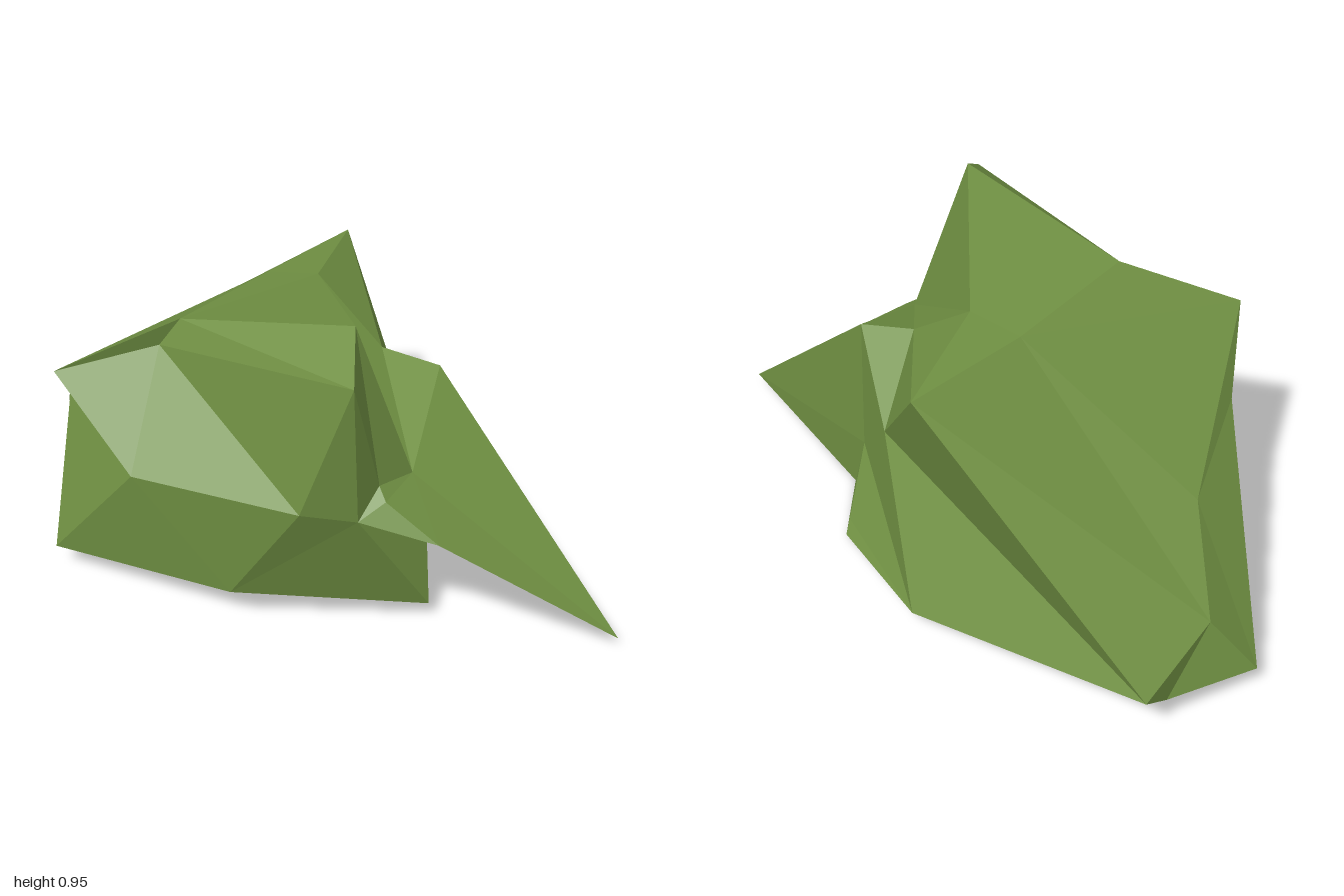
import * as THREE from 'three';

// Corner points of the rock, grouped by region
const P = {
  // crown
  peak: [0.445, 0.952, 0.035], shoulder: [0.573, 0.86, 0.14],
  topFront: [-0.06, 0.82, 0.24], topBack: [-0.06, 0.815, -0.24],
  saddle: [-0.2, 0.788, -0.165], backTip: [-0.3, 0.78, -0.545],
  // front wall
  brow: [-0.23, 0.68, 0.55], notch: [-0.1, 0.735, 0.285],
  belly: [0.03, 0.44, 0.475], cheek: [0.475, 0.46, 0.232],
  hollow: [-0.43, 0.52, 0.385], footFront: [-0.25, 0.083, 0.575],
  footRight: [0.265, 0.112, 0.31], footHollow: [-0.37, 0.11, 0.335],
  // left slope
  ridge: [-0.655, 0.43, 0.115], slopeEnd: [-0.9, 0.245, -0.005],
  tipBack: [-1, 0.175, -0.27], tipMid: [-0.965, 0.11, -0.18], tipFront: [-0.97, 0.075, 0.11],
  // spur on the +x side, with a recess between it and the body
  spurFoot: [0.592, 0.068, -0.145], spurTip: [0.995, 0.04, -0.49], spurRidge: [0.69, 0.357, -0.075],
  recessTop: [0.45, 0.43, -0.23], recessFoot: [0.14, 0.045, -0.35],
  cleft: [0.51, 0.475, -0.13], nickTop: [0.53, 0.495, 0.005],
  nick: [0.565, 0.463, 0.01], nickLow: [0.55, 0.423, 0.092],
  // back wall
  ledge: [0.16, 0.65, -0.305], ledgeEnd: [0.3, 0.62, -0.405], dent: [0.03, 0.437, -0.475],
  crease: [0.28, 0.21, -0.432], footSpur: [0.365, 0.003, -0.435], chip: [0.16, 0.05, -0.55],
  footBack: [0.13, 0.022, -0.577], footCorner: [-0.3, 0.06, -0.577],
  // underside
  keel: [-0.81, 0.047, -0.02], arch: [-0.367, 0.117, -0.35],
};

// Each fan is a hub followed by its neighbours, counter-clockwise from outside
const PARTS = {
  crown: [
    'peak topFront shoulder nickTop cleft topBack topFront',
    'saddle backTip slopeEnd ridge brow topFront topBack backTip',
  ],
  frontWall: [
    'notch topFront brow belly cheek shoulder topFront',
    'hollow ridge tipFront footHollow footFront belly brow ridge',
    'footRight spurFoot nickLow cheek belly footFront',
  ],
  leftSlope: ['slopeEnd backTip tipBack tipMid tipFront ridge'],
  sideSpur: [
    'nickLow spurRidge nick nickTop shoulder cheek',
    'cleft nickTop nick spurRidge spurTip ledgeEnd ledge topBack',
  ],
  spurRecess: ['recessTop nickLow spurFoot recessFoot footSpur spurTip spurRidge nickLow'],
  backWall: [
    'dent backTip ledge ledgeEnd crease footCorner tipBack backTip',
    'ledge backTip topBack',
    'crease ledgeEnd spurTip footSpur chip footCorner',
    'chip footSpur footBack footCorner',
  ],
  underside: [
    'keel arch footHollow tipFront tipMid arch',
    'arch tipMid tipBack footCorner recessFoot spurFoot footRight footFront footHollow',
    'recessFoot footCorner footBack footSpur',
  ],
};

// Faceted surface made of triangle fans
function facets(fans) {
  const positions = [];
  for (const fan of fans) {
    const [hub, ...ring] = fan.split(' ').map((name) => P[name]);
    for (let i = 0; i + 1 < ring.length; i++) positions.push(...hub, ...ring[i], ...ring[i + 1]);
  }
  const geometry = new THREE.BufferGeometry();
  geometry.setAttribute('position', new THREE.Float32BufferAttribute(positions, 3));
  geometry.computeVertexNormals();
  return geometry;
}

export function createModel() {
  const group = new THREE.Group();
  group.name = 'mossyRock';
  const moss = new THREE.MeshStandardMaterial({ color: 0x6f8f42, flatShading: true });
  moss.name = 'moss green';
  for (const [name, fans] of Object.entries(PARTS)) {
    const mesh = new THREE.Mesh(facets(fans), moss);
    mesh.name = name;
    group.add(mesh);
  }
  return group;
}
